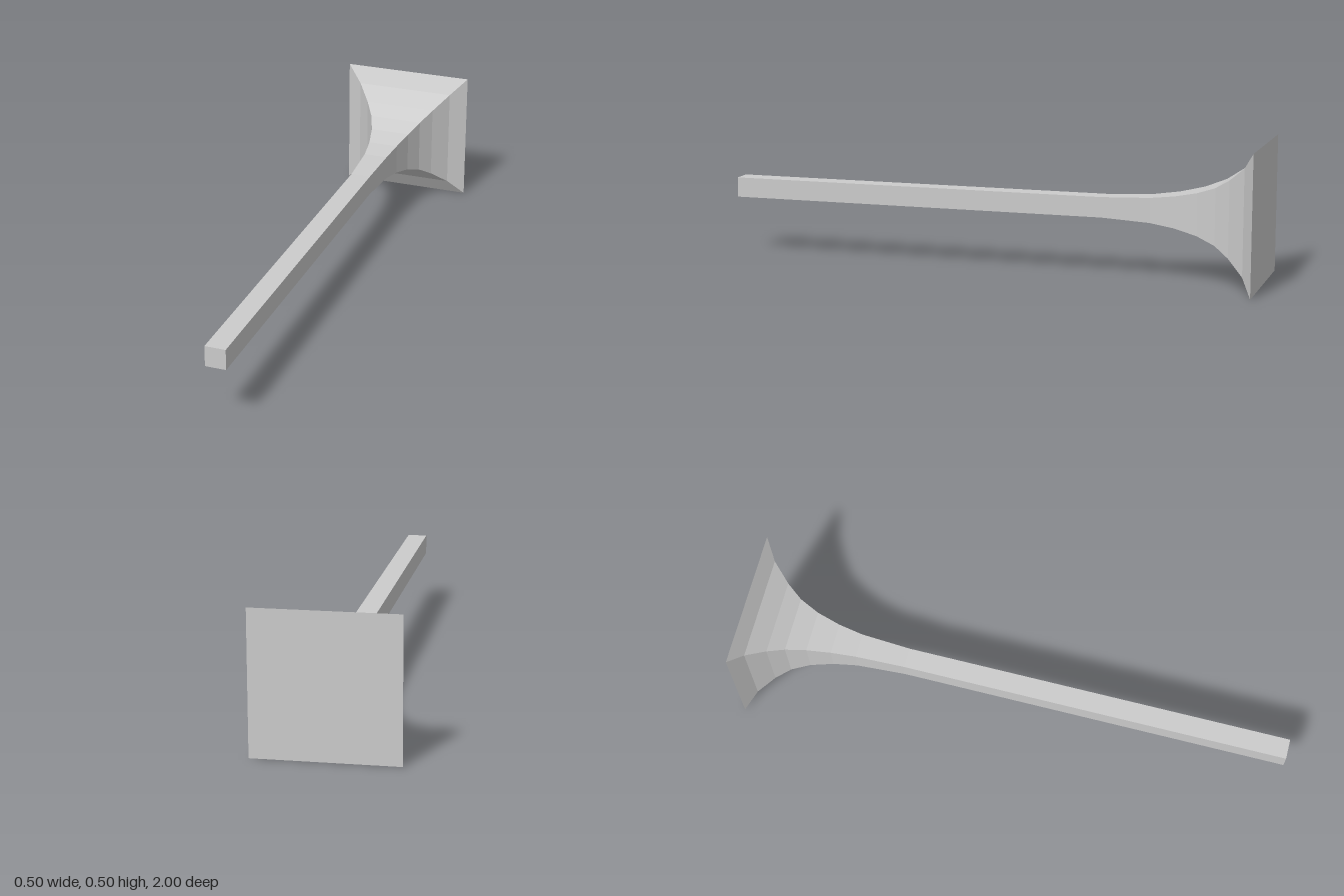
import * as THREE from 'three';

// [position along z, half width] from the back plate to the front tip
const flare = [
  [-1, 0.25], [-0.96, 0.189], [-0.9, 0.137], [-0.845, 0.102], [-0.775, 0.076],
  [-0.69, 0.057], [-0.6, 0.045], [-0.42, 0.037],
];
const tip = [1, 0.037];

// Square tube along z: a four-sided lathe whose corners lie on the diagonals
function squareSection(name, points, material) {
  const profile = points.map(([z, half]) => new THREE.Vector2(half * Math.SQRT2, z));
  const geometry = new THREE.LatheGeometry(profile, 4, Math.PI / 4);
  geometry.rotateX(Math.PI / 2);
  const mesh = new THREE.Mesh(geometry, material);
  mesh.name = name;
  return mesh;
}

// Square end cap facing along z
function endCap(name, [z, half], material) {
  const mesh = new THREE.Mesh(new THREE.PlaneGeometry(half * 2, half * 2), material);
  mesh.position.z = z;
  if (z < 0) mesh.rotation.y = Math.PI;
  mesh.name = name;
  return mesh;
}

export function createModel() {
  const material = new THREE.MeshStandardMaterial({ color: 0xcccccc, flatShading: true });
  const group = new THREE.Group();
  group.name = 'flaredSquareRod';

  group.add(
    squareSection('flaredBase', flare, material),
    squareSection('shaft', [flare[flare.length - 1], tip], material),
    endCap('backPlate', flare[0], material),
    endCap('frontTip', tip, material),
  );

  // Rest the lower edge of the back plate on the ground
  group.children.forEach((part) => { part.position.y = 0.25; });
  return group;
}
